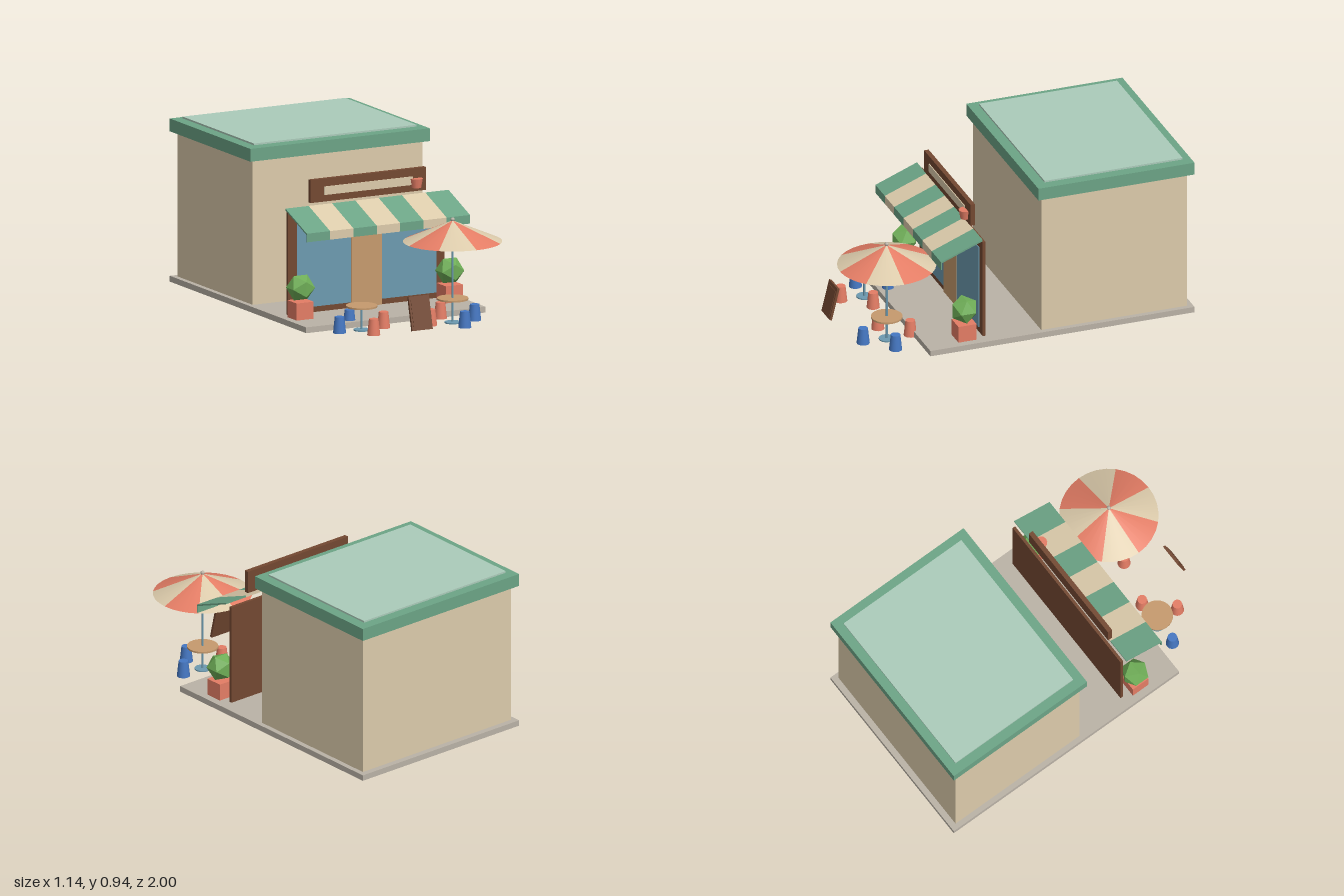
import * as THREE from 'three';

const mat = (name, color, extra = {}) => {
  const m = new THREE.MeshStandardMaterial({ color, ...extra });
  m.name = name;
  return m;
};

export function createModel() {
  const root = new THREE.Group();
  root.name = 'streetCafe';

  const flat = { flatShading: true };
  const cream = mat('cream', 0xdccbab, { side: THREE.DoubleSide });
  const green = mat('awningGreen', 0x6ca486);
  const mint = mat('roofMint', 0xabcbba);
  const stone = mat('stone', 0xbab2a6);
  const blueGlass = mat('glassBlue', 0x6c9ab0);
  const wood = mat('lightWood', 0xc69a6d);
  const coral = mat('coral', 0xe47d65, { side: THREE.DoubleSide });
  const blue = mat('stoolBlue', 0x4577c2);
  const leaf = mat('leafGreen', 0x6fae57, flat);
  const brown = mat('darkWood', 0x734831);

  const add = (name, geometry, material, x = 0, y = 0, z = 0, parent = root) => {
    const mesh = new THREE.Mesh(geometry, material);
    mesh.name = name;
    mesh.position.set(x, y, z);
    parent.add(mesh);
    return mesh;
  };
  // Box given by its extents on each axis
  const box = (name, m, x0, x1, y0, y1, z0, z1, parent = root) =>
    add(name, new THREE.BoxGeometry(x1 - x0, y1 - y0, z1 - z0), m,
      (x0 + x1) / 2, (y0 + y1) / 2, (z0 + z1) / 2, parent);
  // Cylinder standing on y
  const drum = (name, m, rTop, rBottom, h, x, y, z, sides, parent = root) =>
    add(name, new THREE.CylinderGeometry(rTop, rBottom, h, sides), m, x, y + h / 2, z, parent);

  // Pavement and building
  box('pavement', stone, -0.57, 0.57, 0, 0.033, -1, 0.57);
  box('walls', cream, -0.54, 0.54, 0.033, 0.857, -0.965, -0.1);
  box('roofSlab', green, -0.57, 0.57, 0.855, 0.928, -1, -0.072);
  box('roofPanel', mint, -0.517, 0.517, 0.933, 0.943, -0.948, -0.128);

  // Shop front
  box('shopFrame', brown, -0.5, 0.497, 0.033, 0.615, 0.215, 0.232);
  for (const s of [-1, 1]) {
    box('window', blueGlass, Math.min(s * 0.097, s * 0.443), Math.max(s * 0.097, s * 0.443),
      0.065, 0.56, 0.231, 0.237);
  }
  box('door', wood, -0.1, 0.096, 0.033, 0.56, 0.231, 0.239);

  // Sign board with a plain panel and a cup
  box('signBoard', brown, -0.367, 0.365, 0.66, 0.79, 0.228, 0.255);
  box('signPanel', cream, -0.283, 0.281, 0.698, 0.746, 0.254, 0.26);
  drum('signCup', coral, 0.036, 0.027, 0.052, 0.3, 0.682, 0.263, 12);

  // Striped awning: a bent sheet repeated along x
  const profile = new THREE.Shape([
    [0.24, 0.642], [0.487, 0.545], [0.487, 0.496], [0.481, 0.496], [0.481, 0.538], [0.24, 0.632],
  ].map(([z, y]) => new THREE.Vector2(z, y)));
  const awning = new THREE.Group();
  awning.name = 'awning';
  root.add(awning);
  const stripeWidth = 1.037 / 7;
  const stripe = new THREE.ExtrudeGeometry(profile, { depth: stripeWidth, bevelEnabled: false });
  stripe.rotateY(-Math.PI / 2);
  for (let i = 0; i < 7; i++) {
    add('awningStripe', stripe, i % 2 ? cream : green, -0.52 + (i + 1) * stripeWidth, 0, 0, awning);
  }

  // Planters with faceted bushes
  for (const x of [-0.475, 0.473]) {
    box('planter', coral, x - 0.054, x + 0.054, 0.033, 0.13, 0.279, 0.387);
    add('bush', new THREE.IcosahedronGeometry(0.0815, 0), leaf, x, 0.206, 0.333);
  }

  // Tables, each with four stools; colours run +x, +z, -x, -z
  const makeTable = (x, z, poleHeight, stoolColors) => {
    const set = new THREE.Group();
    set.name = 'tableSet';
    set.position.set(x, 0, z);
    root.add(set);
    drum('tableTop', wood, 0.088, 0.088, 0.01, 0, 0.133, 0, 24, set);
    drum('tablePole', blueGlass, 0.006, 0.006, poleHeight, 0, 0, 0, 12, set);
    drum('tableBase', blueGlass, 0.045, 0.045, 0.007, 0, 0, 0, 20, set);
    stoolColors.forEach((m, i) => {
      const a = i * Math.PI / 2;
      drum('stool', m, 0.027, 0.037, 0.092, 0.14 * Math.cos(a), 0, 0.14 * Math.sin(a), 14, set);
    });
    return set;
  };
  makeTable(-0.262, 0.65, 0.135, [coral, coral, blue, blue]);
  const shaded = makeTable(0.278, 0.72, 0.58, [blue, blue, coral, coral]);

  // Parasol: open cone in eight coloured wedges
  for (let i = 0; i < 8; i++) {
    const wedge = new THREE.ConeGeometry(0.277, 0.119, 4, 1, true, i * Math.PI / 4, Math.PI / 4);
    add('parasolWedge', wedge, i % 2 ? cream : coral, 0, 0.5235, 0, shaded);
  }
  add('parasolFinial', new THREE.SphereGeometry(0.012, 12, 8), stone, 0, 0.588, 0, shaded);

  // Leaning menu board
  const board = new THREE.Group();
  board.name = 'menuBoard';
  board.position.set(-0.046, 0.129, 0.932);
  board.rotation.x = -0.24;
  root.add(board);
  box('boardBack', brown, -0.065, 0.065, -0.096, 0.096, -0.007, 0.007, board);
  box('boardFace', brown, -0.054, 0.054, -0.075, 0.075, 0.006, 0.01, board);

  return root;
}
